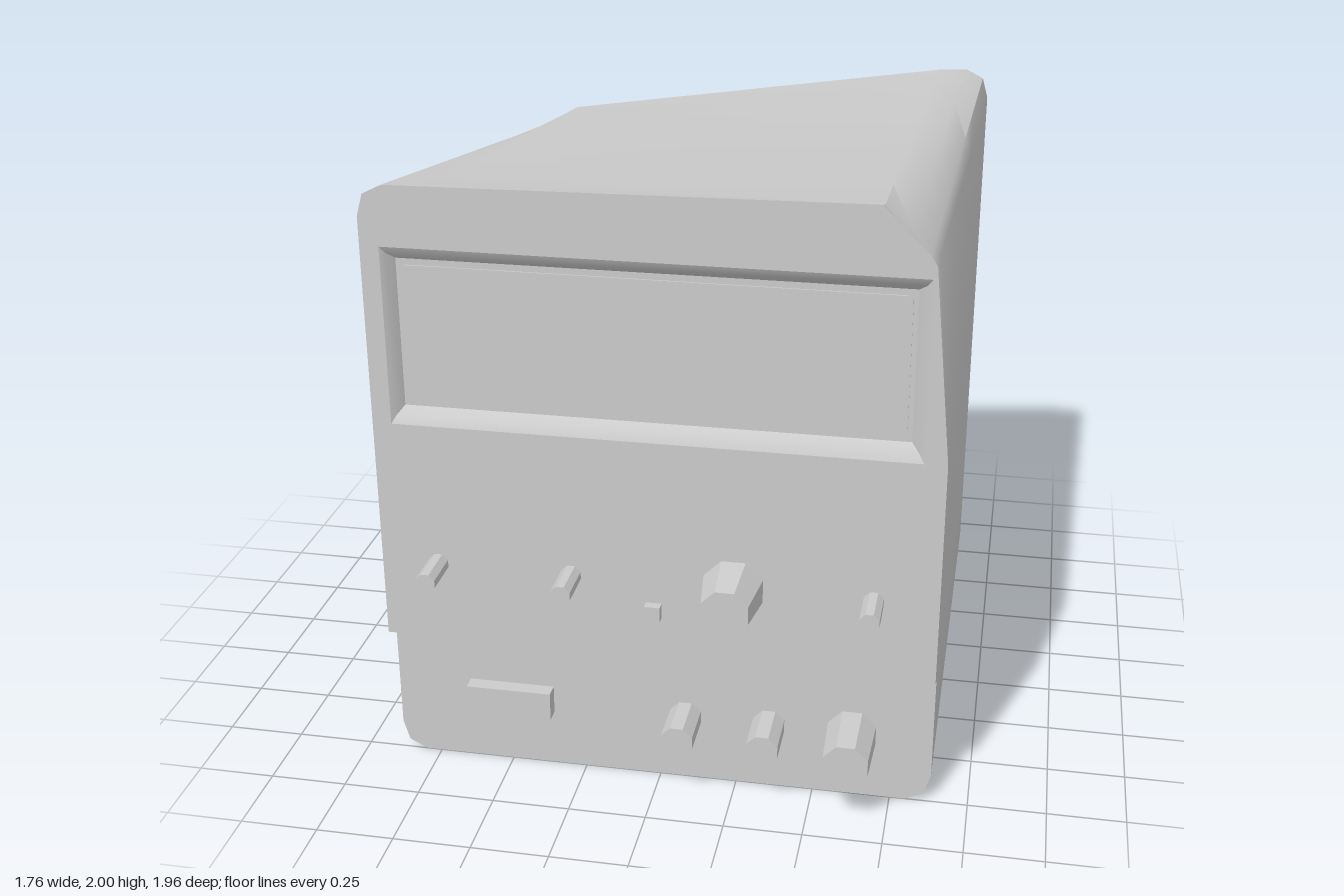
import * as THREE from 'three';
import { toCreasedNormals, mergeVertices } from 'three/addons/utils/BufferGeometryUtils.js';

const FRONT = 0.82, LOWER = 0.75, BACK = -0.98;

// triangles from a list of quads (corners counter-clockwise), creased at sharp edges
function quadGeometry(quads, crease = 0.6) {
  const pos = [];
  for (const [a, b, c, d] of quads) pos.push(...a, ...b, ...c, ...a, ...c, ...d);
  const g = new THREE.BufferGeometry();
  g.setAttribute('position', new THREE.Float32BufferAttribute(pos, 3));
  return toCreasedNormals(mergeVertices(g), crease);
}

export function createModel() {
  const group = new THREE.Group();
  const mat = new THREE.MeshStandardMaterial({ color: 0xcccccc, side: THREE.DoubleSide });
  const flat = new THREE.MeshStandardMaterial({ color: 0xcccccc, flatShading: true });
  const add = (name, geo, x = 0, y = 0, z = 0, m = mat) => {
    const mesh = new THREE.Mesh(geo, m);
    mesh.name = name;
    mesh.position.set(x, y, z);
    group.add(mesh);
    return mesh;
  };

  // cross-sections: right half going up, left half going down
  const base = [[0.8, 0], [0.86, 0.03], [0.88, 0.1], [0.88, 0.45], [0.88, 0.48], [0.88, 1.22]];
  const mirror = base.map(([x, y]) => [-x, y]).reverse();
  const frontRing = [...base, [0.82, 1.83], [0.8, 1.86], [0.73, 1.93], [0.66, 2],
    [-0.65, 1.982], [-0.8, 1.98], [-0.86, 1.95], [-0.88, 1.88], ...mirror]
    .map(([x, y]) => [x, y, y < 0.46 ? LOWER : FRONT]);
  const backRing = [...base, [0.88, 1.88], [0.86, 1.95], [0.8, 1.98], [0.7, 1.975],
    [-0.65, 1.79, -0.92], [-0.75, 1.73, -0.89], [-0.79, 1.69, -0.88], [-0.8, 1.66, -0.88], ...mirror]
    .map(([x, y, z = BACK]) => [x, y, z]);
  const n = frontRing.length;

  // casing walls lofted from front to back, with a small lip at the front
  const steps = [0, 0.04, 0.15, 0.3, 0.45, 0.6, 0.75, 0.88, 1];
  const rings = steps.map((t) => frontRing.map((f, i) => {
    const p = f.map((v, k) => THREE.MathUtils.lerp(v, backRing[i][k], t));
    if (t > 0) p[1] = Math.min(p[1], 1.98);
    return p;
  }));
  const walls = [];
  for (let s = 0; s < rings.length - 1; s++) {
    for (let i = 0; i < n; i++) {
      const j = (i + 1) % n;
      walls.push([rings[s][i], rings[s + 1][i], rings[s + 1][j], rings[s][j]]);
    }
  }
  add('casing', quadGeometry(walls));

  // back panel and stepped lower front, as rows across the section
  const backRows = [], lowerRows = [];
  for (let i = 0; i < n / 2 - 1; i++) {
    const m = n - 1 - i;
    backRows.push([backRing[i], backRing[m], backRing[m - 1], backRing[i + 1]]);
    if (i < 4) lowerRows.push([frontRing[m], frontRing[i], frontRing[i + 1], frontRing[m - 1]]);
  }
  add('backPanel', quadGeometry(backRows));
  add('lowerFrontPanel', quadGeometry(lowerRows, 0.3));

  // upper front panel with the display opening
  const rect = (x0, x1, y0, y1, z) => [[x0, y0, z], [x1, y0, z], [x1, y1, z], [x0, y1, z]];
  const outer = rect(-0.82, 0.81, 1.22, 1.79, FRONT);
  const middle = rect(-0.805, 0.795, 1.245, 1.768, 0.808);
  const inner = rect(-0.785, 0.77, 1.27, 1.745, 0.78);
  const vec = (p) => new THREE.Vector2(p[0], p[1]);
  const panel = new THREE.Shape(frontRing.filter((p) => p[1] > 0.46).map(vec));
  panel.holes.push(new THREE.Path(outer.map(vec).reverse()));
  add('upperFrontPanel', new THREE.ShapeGeometry(panel), 0, 0, FRONT);

  // soft bezel sinking to the display floor
  const bezel = [inner];
  for (const [a, b] of [[outer, middle], [middle, inner]]) {
    for (let i = 0; i < 4; i++) {
      const j = (i + 1) % 4;
      bezel.push([a[i], a[j], b[j], b[i]]);
    }
  }
  add('displayBezel', quadGeometry(bezel, 0.7));

  // display window with small rounded corners
  const [l, r, b, t, c] = [-0.77, 0.755, 1.285, 1.725, 0.02];
  const win = new THREE.Shape();
  win.absarc(r - c, b + c, c, -Math.PI / 2, 0);
  win.absarc(r - c, t - c, c, 0, Math.PI / 2);
  win.absarc(l + c, t - c, c, Math.PI / 2, Math.PI);
  win.absarc(l + c, b + c, c, Math.PI, Math.PI * 1.5);
  add('displayWindow', new THREE.ExtrudeGeometry(win,
    { depth: 0.005, bevelEnabled: false, curveSegments: 3 }), 0, 0, 0.78, flat);

  // eight-sided controls: name, x, y, base radius, tip radius, panel z, tip z
  const controls = [
    ['leftPin', -0.695, 0.75, 0.033, 0.033, FRONT, 0.96],
    ['middlePin', -0.265, 0.75, 0.033, 0.033, FRONT, 0.96],
    ['rightPin', 0.68, 0.75, 0.033, 0.033, FRONT, 0.96],
    ['mainKnob', 0.247, 0.75, 0.1, 0.078, FRONT, 0.98],
    ['lowerButton', 0.083, 0.228, 0.054, 0.054, LOWER, 0.905],
    ['lowerButton', 0.355, 0.228, 0.054, 0.054, LOWER, 0.905],
    ['lowerKnob', 0.622, 0.228, 0.083, 0.076, LOWER, 0.945],
  ];
  for (const [name, x, y, rBase, rTip, z0, z1] of controls) {
    const g = new THREE.CylinderGeometry(rTip, rBase, z1 - z0, 8);
    g.rotateY(Math.PI / 8).rotateX(Math.PI / 2);
    add(name, g, x, y, (z0 + z1) / 2, flat);
  }

  // small square button and power switch
  add('squareButton', new THREE.BoxGeometry(0.05, 0.05, 0.03), -0.003, 0.65, 0.835, flat);
  add('powerSwitch', new THREE.BoxGeometry(0.28, 0.095, 0.05), -0.495, 0.242, 0.775, flat);

  return group;
}
